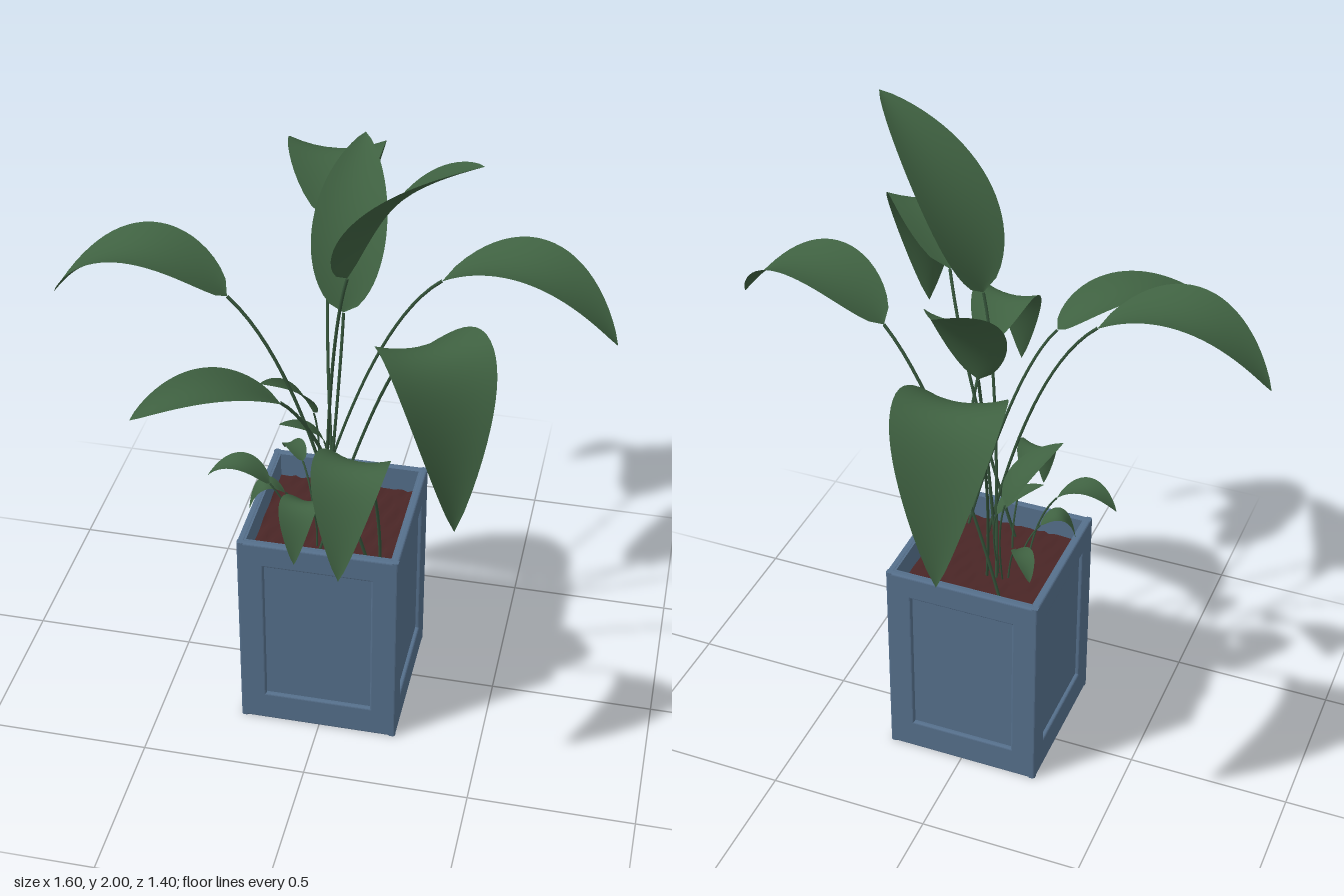
import * as THREE from 'three';

const V = (x, y, z) => new THREE.Vector3(x, y, z);

const planterBlue = new THREE.MeshStandardMaterial({ color: 0x556f8b });
const leafGreen = new THREE.MeshStandardMaterial({ color: 0x3f6141, side: THREE.DoubleSide });
const stemGreen = new THREE.MeshStandardMaterial({ color: 0x35543a });
const soilBrown = new THREE.MeshStandardMaterial({ color: 0x4a2626 });

// Planter centre and size
const CX = -0.003, CZ = 0.048, HALF = 0.243, HEIGHT = 0.68, SOIL = 0.6;

// Leaves: where the blade starts and ends, how high its bend pulls, and the stem's foot (x, z)
const LEAVES = {
  backLeaf: { base: V(-0.1, 1.43, -0.34), tip: V(-0.14, 1.11, -0.69), bend: 1.82, foot: [-0.01, 0] },
  centreLeaf: { base: V(0.01, 1.32, -0.02), tip: V(0, 1.72, -0.37), bend: 1.6, foot: [-0.03, 0.04] },
  leftLeaf: { base: V(0.29, 1.45, -0.04), tip: V(0.8, 1.38, 0.085), bend: 1.7, foot: [-0.08, -0.08] },
  rightLeaf: { base: V(-0.28, 1.45, 0.17), tip: V(-0.8, 1.38, 0.14), bend: 1.7, foot: [0.06, 0.175] },
  tallLeaf: { base: V(0.05, 1.52, 0.12), tip: V(0.44, 2, 0.3), bend: 1.83, foot: [-0.04, 0] },
  frontLeftLeaf: { base: V(0.25, 1.43, 0.35), tip: V(0.45, 1.11, 0.65), bend: 1.81, foot: [-0.02, 0.21] },
  frontLeaf: { base: V(0.175, 1.12, 0.45), tip: V(0.15, 0.93, 0.7), bend: 1.41, foot: [0.175, 0.23] },
  frontRightLeaf: { base: V(-0.08, 1.27, 0.39), tip: V(-0.42, 1.34, 0.655), bend: 1.43, foot: [0.14, 0.22] },
  // Young leaves, whose feet follow from their bases
  youngUpperLeaf: { base: V(-0.09, 0.93, -0.06), tip: V(-0.22, 1.1, 0.07), bend: 1.05 },
  youngMiddleLeaf: { base: V(-0.05, 0.86, -0.02), tip: V(-0.17, 0.95, 0.05), bend: 0.93 },
  youngRightLeaf: { base: V(-0.17, 0.82, 0.17), tip: V(-0.36, 0.82, 0.17), bend: 0.94 },
  smallRightLeaf: { base: V(-0.14, 0.75, 0.11), tip: V(-0.24, 0.7, 0.15), bend: 0.84 },
  smallFrontLeaf: { base: V(-0.035, 0.83, 0.25), tip: V(-0.05, 0.7, 0.38), bend: 0.97 },
  smallBackLeaf: { base: V(-0.12, 0.76, -0.04), tip: V(-0.2, 0.73, -0.14), bend: 0.82 },
};

// Midrib: a drooping blade bends far out, a rising one close to its base
function midrib({ base, tip, bend }) {
  const slope = (tip.y - base.y) / Math.hypot(tip.x - base.x, tip.z - base.z);
  const reach = THREE.MathUtils.clamp(0.5 - 0.4 * slope, 0.22, 0.92);
  const control = base.clone().lerp(tip, reach).setY(bend);
  return new THREE.QuadraticBezierCurve3(base, control, tip);
}

// Curved, slightly cupped blade with a round base and pointed tip
function leafGeometry(curve, width) {
  const rows = 24, cols = 8, pos = [], index = [];
  const dir = curve.v2.clone().sub(curve.v0);
  const side = V(-dir.z, 0, dir.x).normalize();
  for (let i = 0; i <= rows; i++) {
    const t = i / rows;
    const p = curve.getPoint(t);
    const normal = side.clone().cross(curve.getTangent(t)).normalize();
    const half = (width / 2) * Math.pow(t, 0.6) * Math.pow(1 - t, 0.85) / 0.374;
    for (let j = 0; j <= cols; j++) {
      const s = (j / cols) * 2 - 1;
      const q = p.clone().addScaledVector(side, s * half).addScaledVector(normal, s * s * half * 0.2);
      pos.push(q.x, q.y, q.z);
      if (i < rows && j < cols) {
        const a = i * (cols + 1) + j, b = a + cols + 1;
        index.push(a, a + 1, b, a + 1, b + 1, b);
      }
    }
  }
  const g = new THREE.BufferGeometry();
  g.setAttribute('position', new THREE.Float32BufferAttribute(pos, 3));
  g.setIndex(index);
  g.computeVertexNormals();
  return g;
}

function makeShoot(name, spec) {
  const shoot = new THREE.Group();
  shoot.name = name + 'Shoot';
  const { base, foot } = spec;
  const blade = midrib(spec);
  const width = 0.39 * blade.getLength();

  // The stem runs smoothly into the midrib
  const root = foot ? V(foot[0], SOIL, foot[1]) : base.clone().lerp(V(-0.03, 0, 0.06), 0.5).setY(SOIL);
  const knee = base.clone().lerp(blade.v1, -0.7);
  const stemCurve = new THREE.QuadraticBezierCurve3(root, knee, base);
  const stem = new THREE.Mesh(new THREE.TubeGeometry(stemCurve, 20, foot ? 0.0048 : 0.003, 6), stemGreen);
  stem.name = 'stem';

  const leaf = new THREE.Mesh(leafGeometry(blade, width), leafGreen);
  leaf.name = name;
  shoot.add(stem, leaf);
  return shoot;
}

function rect(path, hx, y0, y1) {
  return path.moveTo(-hx, y0).lineTo(hx, y0).lineTo(hx, y1).lineTo(-hx, y1).closePath();
}

function makePlanter() {
  const planter = new THREE.Group();
  planter.name = 'planter';
  planter.position.set(CX, 0, CZ);
  const add = (name, geometry, material = planterBlue) => {
    const mesh = new THREE.Mesh(geometry, material);
    mesh.name = name;
    planter.add(mesh);
    return mesh;
  };

  // Hollow square body, carrying the recessed panels
  const ring = rect(new THREE.Shape(), 0.23, -0.23, 0.23);
  ring.holes.push(rect(new THREE.Path(), 0.218, -0.218, 0.218));
  const body = new THREE.ExtrudeGeometry(ring, { depth: HEIGHT - 0.004, bevelEnabled: false });
  add('body', body.rotateX(-Math.PI / 2).translate(0, 0.003, 0));
  add('base', new THREE.BoxGeometry(0.468, 0.03, 0.468).translate(0, 0.0155, 0));

  // Rounded frame around each panel
  const b = 0.006;
  const frame = rect(new THREE.Shape(), HALF - b, b, HEIGHT - b);
  frame.holes.push(rect(new THREE.Path(), 0.163 + b, 0.1 - b, 0.6 + b));
  const frameGeometry = new THREE.ExtrudeGeometry(frame, {
    depth: 0.01, bevelSize: b, bevelThickness: b, bevelSegments: 3,
  }).translate(0, 0, HALF - 0.016);
  for (let i = 0; i < 4; i++) add('panelFrame', frameGeometry).rotation.y = (i * Math.PI) / 2;

  // Lumpy soil
  const soil = new THREE.PlaneGeometry(0.436, 0.436, 28, 28).rotateX(-Math.PI / 2);
  const p = soil.attributes.position;
  for (let i = 0; i < p.count; i++) {
    p.setY(i, SOIL + 0.005 * Math.sin(i * 12.9898) * Math.cos(i * 4.1));
  }
  soil.computeVertexNormals();
  add('soil', soil, soilBrown);
  return planter;
}

export function createModel() {
  const model = new THREE.Group();
  model.name = 'pottedPlant';
  model.add(makePlanter());
  for (const [name, spec] of Object.entries(LEAVES)) model.add(makeShoot(name, spec));
  return model;
}
